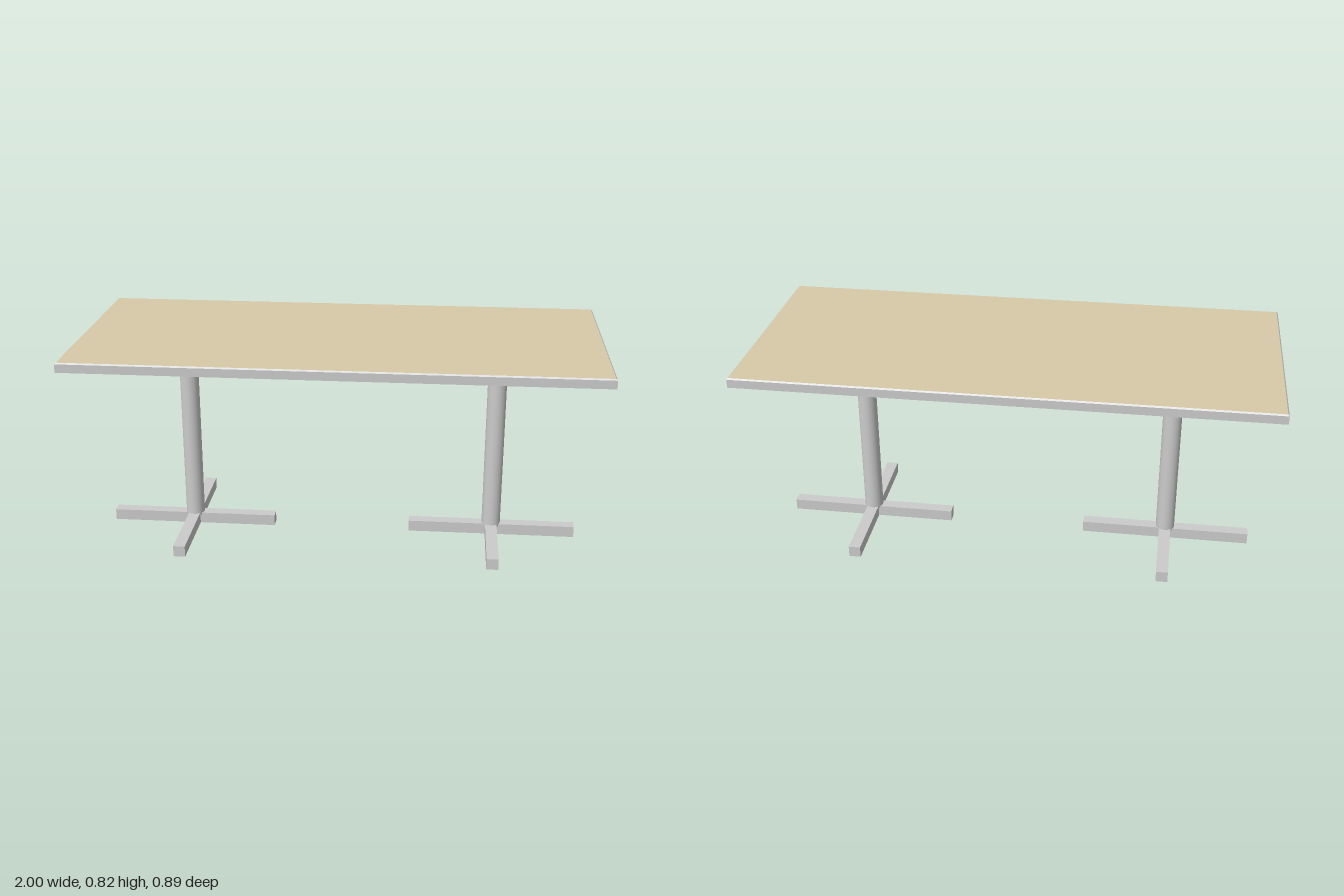
import * as THREE from 'three';

const grey = new THREE.MeshStandardMaterial({ color: 0xcccccc });
const beige = new THREE.MeshStandardMaterial({ color: 0xd8caa9 });

function addMesh(parent, name, geometry, material, x, y, z) {
  const mesh = new THREE.Mesh(geometry, material);
  mesh.name = name;
  mesh.position.set(x, y, z);
  parent.add(mesh);
  return mesh;
}

// Box whose upper corners are pulled inwards to form a chamfer
function chamferBox(w, h, d, inset) {
  const geometry = new THREE.BoxGeometry(w, h, d);
  const p = geometry.attributes.position;
  for (let i = 0; i < p.count; i++) {
    if (p.getY(i) > 0) {
      p.setX(i, p.getX(i) - Math.sign(p.getX(i)) * inset);
      p.setZ(i, p.getZ(i) - Math.sign(p.getZ(i)) * inset);
    }
  }
  geometry.computeVertexNormals();
  return geometry;
}

// Column with round mounting plate and cross-shaped foot
function createPedestal(name, x) {
  const pedestal = new THREE.Group();
  pedestal.name = name;
  pedestal.position.x = x;
  const columnBottom = 0.034, plateBottom = 0.761, topBottom = 0.783;
  addMesh(pedestal, 'column',
    new THREE.CylinderGeometry(0.037, 0.037, plateBottom - columnBottom, 40),
    grey, 0, (plateBottom + columnBottom) / 2, 0);
  addMesh(pedestal, 'mountingPlate',
    new THREE.CylinderGeometry(0.111, 0.111, topBottom - plateBottom, 48),
    grey, 0, (topBottom + plateBottom) / 2, 0);

  // One full bar along x, two half bars along z meeting it
  const reach = 0.332, width = 0.046, height = 0.044;
  addMesh(pedestal, 'footBar', new THREE.BoxGeometry(reach * 2, height, width), grey, 0, height / 2, 0);
  const armLength = reach - width / 2;
  for (const side of [1, -1]) {
    addMesh(pedestal, side > 0 ? 'frontFootArm' : 'backFootArm',
      new THREE.BoxGeometry(width, height, armLength),
      grey, 0, height / 2, side * (width / 2 + armLength / 2));
  }
  return pedestal;
}

export function createModel() {
  const table = new THREE.Group();
  table.name = 'table';

  // Tabletop: grey edge band, then a thin chamfered layer with a coloured surface
  const width = 2, depth = 0.89;
  addMesh(table, 'tabletopEdge', new THREE.BoxGeometry(width, 0.032, depth), grey, 0, 0.799, 0);
  addMesh(table, 'tabletopSurface', chamferBox(width, 0.005, depth, 0.005),
    [grey, grey, beige, grey, grey, grey], 0, 0.8175, 0);

  table.add(createPedestal('leftPedestal', 0.607));
  table.add(createPedestal('rightPedestal', -0.607));
  return table;
}
